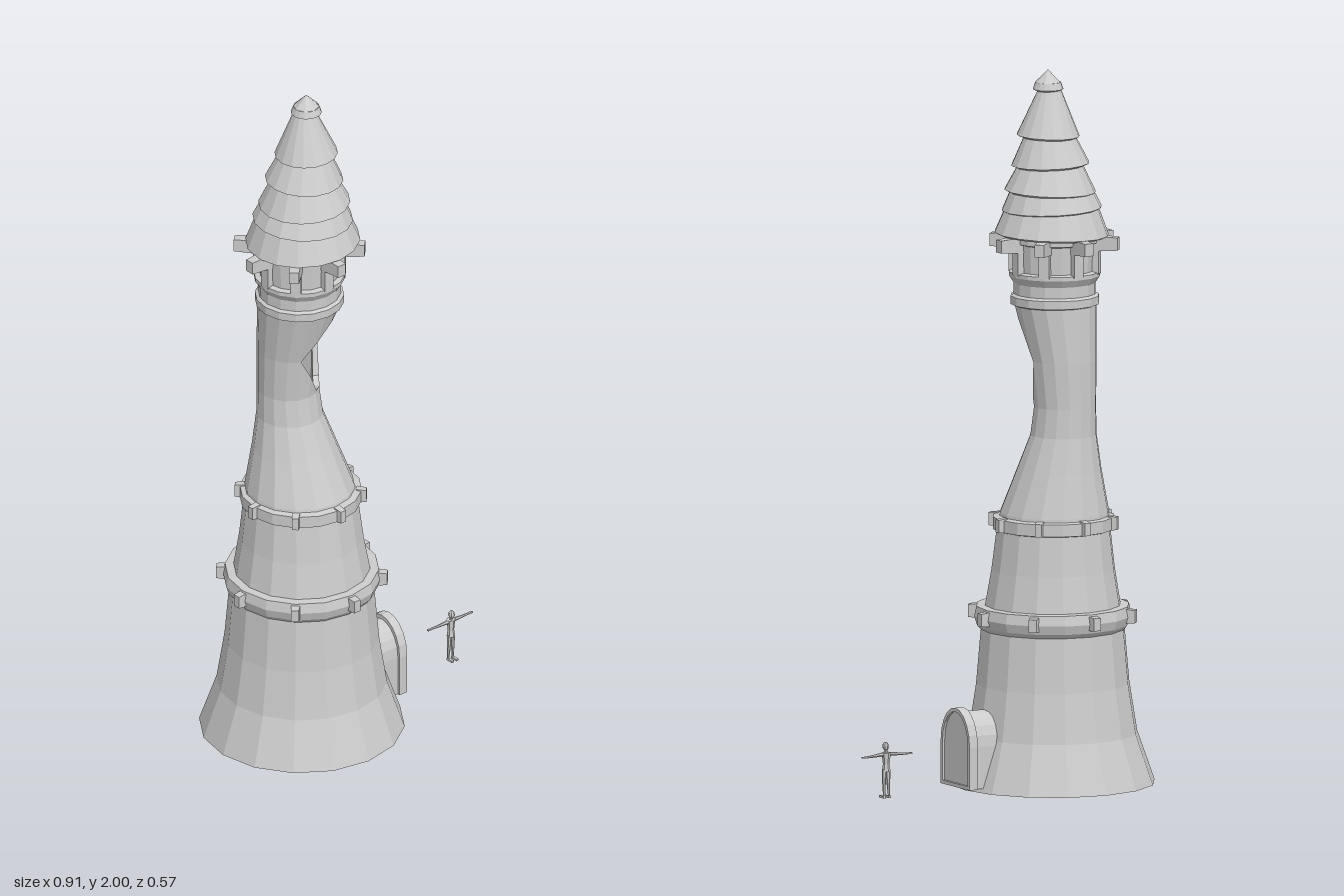
import * as THREE from 'three';

const SIDES = 16;
const mat = new THREE.MeshStandardMaterial({ color: 0xcccccc, flatShading: true, side: THREE.DoubleSide });

// Tower outline: height, radius, centre x, centre z (the shaft bends slightly)
const LEVELS = [
  [0, 0.286, -0.17, 0], [0.14, 0.237, -0.17, 0], [0.28, 0.215, -0.17, 0], [0.43, 0.202, -0.17, 0],
  [0.50, 0.19, -0.17, 0], [0.60, 0.173, -0.17, -0.002], [0.71, 0.16, -0.17, -0.004],
  [0.76, 0.153, -0.171, -0.008], [0.88, 0.119, -0.176, -0.024], [0.98, 0.093, -0.182, -0.038],
  [1.06, 0.087, -0.184, -0.043], [1.2, 0.096, -0.181, -0.034], [1.35, 0.116, -0.174, -0.008],
];

function wallPoint(y, i, inset = 0) {
  let k = 1;
  while (k < LEVELS.length - 1 && LEVELS[k][0] < y) k++;
  const a = LEVELS[k - 1], b = LEVELS[k], t = (y - a[0]) / (b[0] - a[0]);
  const [r, cx, cz] = [1, 2, 3].map(n => a[n] + (b[n] - a[n]) * t);
  const ang = i * 2 * Math.PI / SIDES;
  return [cx + (r - inset) * Math.sin(ang), y, cz + (r - inset) * Math.cos(ang)];
}

// Skin a list of rings; each ring is a function from column index to a point
function skin(rings) {
  const pos = [], idx = [], w = SIDES + 1;
  rings.forEach(ring => { for (let i = 0; i < w; i++) pos.push(...ring(i)); });
  for (let j = 0; j < rings.length - 1; j++) {
    for (let i = 0; i < SIDES; i++) {
      const a = j * w + i, b = a + w;
      idx.push(a, a + 1, b, a + 1, b + 1, b);
    }
  }
  const g = new THREE.BufferGeometry();
  g.setAttribute('position', new THREE.Float32BufferAttribute(pos, 3));
  g.setIndex(idx);
  g.computeVertexNormals();
  return g;
}

function add(parent, name, geo, x = 0, y = 0, z = 0) {
  const m = new THREE.Mesh(geo, mat);
  m.name = name;
  m.position.set(x, y, z);
  parent.add(m);
  return m;
}

const lathe = pts => new THREE.LatheGeometry(pts.map(p => new THREE.Vector2(p[0], p[1])), SIDES);

// Blocks standing around a circle
function around(parent, name, count, r0, r1, w, h, x, y, z, taper = 1) {
  const geo = new THREE.BoxGeometry(w, h, r1 - r0);
  const p = geo.attributes.position;
  for (let i = 0; i < p.count; i++) {
    if (p.getZ(i) > 0) p.setXYZ(i, p.getX(i) * taper, p.getY(i) * taper, p.getZ(i));
  }
  for (let i = 0; i < count; i++) {
    const a = i * 2 * Math.PI / count, r = (r0 + r1) / 2;
    add(parent, name, geo, x + r * Math.sin(a), y, z + r * Math.cos(a)).rotation.y = a;
  }
}

// Round-topped doorway outline, centred on x = 0
function arch(half, spring, top, base, Type = THREE.Shape) {
  const s = new Type();
  s.moveTo(-half, base);
  s.lineTo(half, base);
  s.lineTo(half, spring);
  s.bezierCurveTo(half, spring + (top - spring) * 0.6, half * 0.5, top, 0, top);
  s.bezierCurveTo(-half * 0.5, top, -half, spring + (top - spring) * 0.6, -half, spring);
  s.lineTo(-half, base);
  return s;
}

// Rod between two points
function rod(parent, name, a, b, ra, rb) {
  const p = new THREE.Vector3(...a), q = new THREE.Vector3(...b), d = q.clone().sub(p);
  const m = add(parent, name, new THREE.CylinderGeometry(rb, ra, d.length(), 6));
  m.position.copy(p).add(q).multiplyScalar(0.5);
  m.quaternion.setFromUnitVectors(new THREE.Vector3(0, 1, 0), d.normalize());
}

function buildShaft(tower) {
  // Ragged hole in the upper shaft: lower and upper limit for each column
  const lo = { 0: 1.13, 1: 1.07, 2: 1.065, 3: 1.08 }, hi = { 0: 1.25, 1: 1.3, 2: 1.31, 3: 1.3 };
  const low = i => lo[i % SIDES] ?? 1.19, high = i => hi[i % SIDES] ?? 1.19;
  const below = LEVELS.filter(l => l[0] <= 1.06).map(l => i => wallPoint(l[0], i));
  add(tower, 'lowerWall', skin([...below, i => wallPoint(low(i), i)]));
  add(tower, 'upperWall', skin([i => wallPoint(high(i), i), i => wallPoint(1.35, i)]));
  // Broken edge and inner face around the hole
  const t = 0.018;
  add(tower, 'innerWallBelow', skin([i => wallPoint(0.98, i, t), i => wallPoint(low(i), i, t)]));
  add(tower, 'innerWallAbove', skin([i => wallPoint(high(i), i, t), i => wallPoint(1.35, i, t)]));
  add(tower, 'holeSill', skin([i => wallPoint(low(i), i), i => wallPoint(low(i), i, t)]));
  add(tower, 'holeLintel', skin([i => wallPoint(high(i), i, t), i => wallPoint(high(i), i)]));
}

function buildBands(tower) {
  add(tower, 'lowerBand', lathe([[0.195, 0.425], [0.212, 0.445], [0.22, 0.47], [0.214, 0.498], [0.185, 0.5]]), -0.17);
  around(tower, 'lowerBandBlock', 8, 0.2, 0.238, 0.026, 0.042, -0.17, 0.473, 0, 0.85);
  add(tower, 'upperBand', lathe([[0.155, 0.71], [0.17, 0.714], [0.17, 0.748], [0.15, 0.753]]), -0.17, 0, -0.005);
  around(tower, 'upperBandBlock', 8, 0.155, 0.183, 0.022, 0.042, -0.17, 0.733, -0.005, 0.85);
}

function buildLantern(tower) {
  const x = -0.172, z = -0.008;
  add(tower, 'collar', lathe([[0.11, 1.34], [0.124, 1.345], [0.124, 1.368], [0.115, 1.374], [0.115, 1.405],
    [0.128, 1.425], [0.128, 1.436], [0.11, 1.44]]), x, 0, z);
  add(tower, 'lanternWall', lathe([[0.112, 1.43], [0.116, 1.545]]), x, 0, z);
  around(tower, 'lanternPost', 8, 0.1, 0.128, 0.03, 0.11, x, 1.487, z);
  add(tower, 'lanternSill', lathe([[0.11, 1.515], [0.126, 1.52], [0.126, 1.54]]), x, 0, z);
  around(tower, 'roofBracket', 8, 0.11, 0.182, 0.034, 0.044, x, 1.518, z, 0.8);
}

function buildRoof(tower) {
  // Overlapping tiers: bottom height, bottom radius, top height, top radius, tilt
  const tiers = [
    [1.535, 0.16, 1.635, 0.122, 0.03], [1.605, 0.14, 1.68, 0.108, -0.03], [1.655, 0.128, 1.74, 0.087, 0.03],
    [1.73, 0.109, 1.83, 0.064, -0.03], [1.81, 0.088, 1.945, 0.032, 0.03], [1.94, 0.043, 1.965, 0.036, 0],
  ];
  tiers.forEach(([y0, r0, y1, r1, tilt], n) => {
    const h = y1 - y0;
    const m = add(tower, 'roofTier', lathe([[0, -h / 2 + 0.008], [r0 - 0.012, -h / 2], [r0, -h / 2 + 0.006], [r1, h / 2], [0, h / 2]]),
      -0.167 + n * 0.002, (y0 + y1) / 2, 0.001 * n - 0.002);
    m.rotation.z = tilt;
    m.rotation.x = -tilt * 0.5;
  });
  add(tower, 'roofTip', new THREE.ConeGeometry(0.036, 0.035, 8), -0.157, 1.9825, 0.003);
}

function buildDoor(tower) {
  const porch = new THREE.Group();
  porch.name = 'porch';
  const extrude = (s, depth) => new THREE.ExtrudeGeometry(s, { depth, bevelEnabled: false, curveSegments: 5 });
  add(porch, 'porchBody', extrude(arch(0.069, 0.13, 0.222, 0.012), 0.1), 0, 0, 0.03);
  const frame = arch(0.077, 0.13, 0.234, 0.012);
  frame.holes.push(arch(0.067, 0.13, 0.223, 0.022, THREE.Path));
  add(porch, 'doorFrame', extrude(frame, 0.027), 0, 0, 0.12);
  add(porch, 'doorPanel', extrude(arch(0.068, 0.13, 0.224, 0.02), 0.02), 0, 0, 0.12);
  porch.rotation.y = Math.PI / 2;
  tower.add(porch);
}

function buildFigure() {
  const f = new THREE.Group();
  f.name = 'standingFigure';
  add(f, 'head', new THREE.SphereGeometry(0.011, 8, 6), 0, 0.145, 0.003).scale.set(0.8, 1.1, 0.95);
  rod(f, 'neck', [0, 0.125, 0], [0, 0.138, 0.002], 0.004, 0.004);
  rod(f, 'chest', [0, 0.095, 0], [0, 0.128, 0], 0.009, 0.013);
  rod(f, 'hips', [0, 0.075, 0], [0, 0.096, 0], 0.012, 0.009);
  for (const s of [-1, 1]) {
    rod(f, 'upperArm', [s * 0.01, 0.123, 0], [s * 0.04, 0.121, -0.002], 0.006, 0.004);
    rod(f, 'forearm', [s * 0.04, 0.121, -0.002], [s * 0.066, 0.12, -0.004], 0.004, 0.003);
    add(f, 'hand', new THREE.BoxGeometry(0.016, 0.004, 0.006), s * 0.073, 0.12, -0.004);
    rod(f, 'thigh', [s * 0.006, 0.08, 0], [s * 0.007, 0.042, 0], 0.007, 0.005);
    rod(f, 'shin', [s * 0.007, 0.042, 0], [s * 0.008, 0.005, -0.002], 0.005, 0.003);
    add(f, 'foot', new THREE.BoxGeometry(0.008, 0.006, 0.024), s * 0.008, 0.003, 0.007);
  }
  f.position.x = 0.371;
  return f;
}

export function createModel() {
  const model = new THREE.Group();
  const tower = new THREE.Group();
  tower.name = 'tower';
  buildShaft(tower);
  buildBands(tower);
  buildLantern(tower);
  buildRoof(tower);
  buildDoor(tower);
  model.add(tower, buildFigure());
  return model;
}
